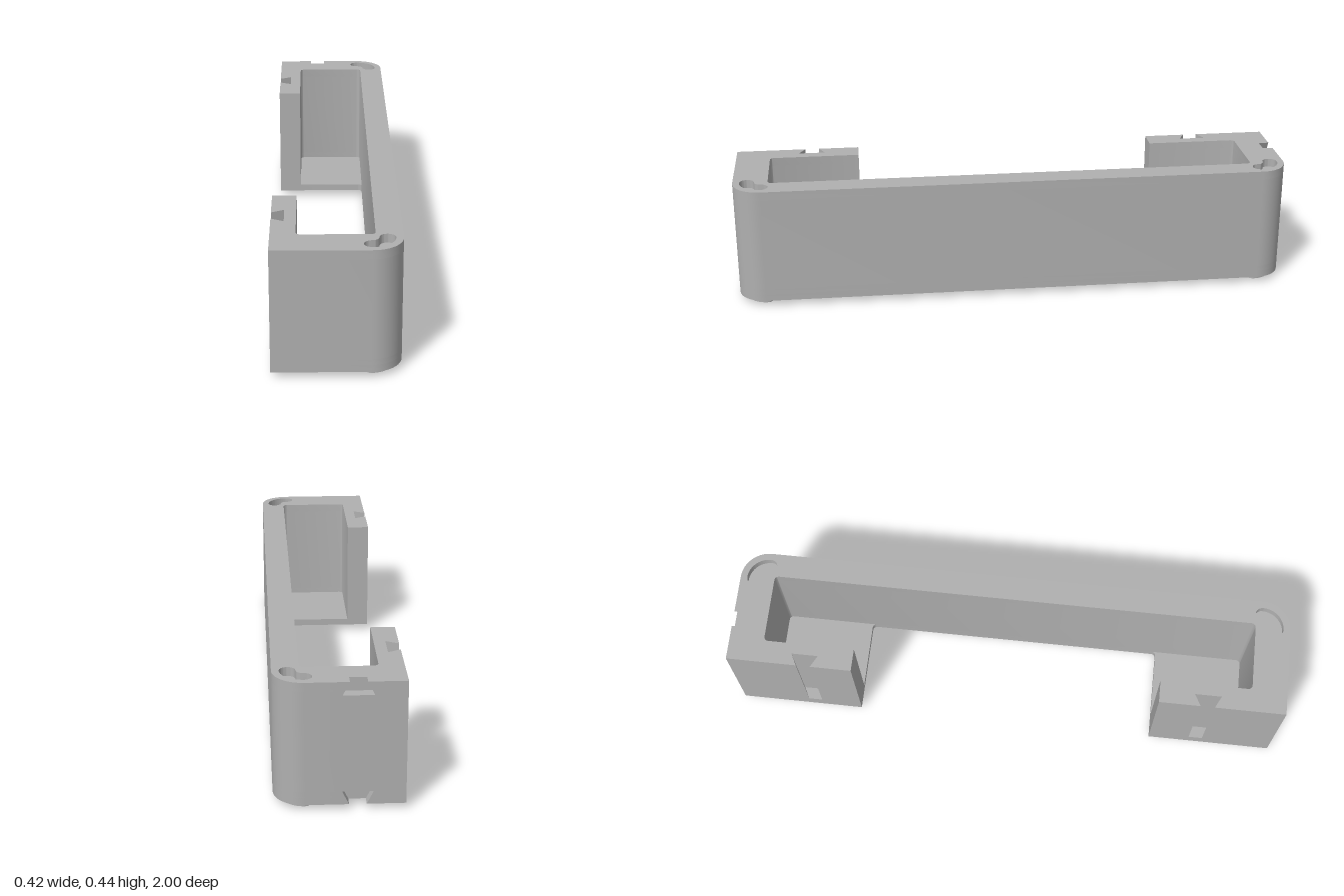
import * as THREE from 'three';
import { toCreasedNormals } from 'three/addons/utils/BufferGeometryUtils.js';

const BASE = 0.02, TOP = 0.44;          // body bottom and top
const FLOOR = 0.045, SLOT = 0.065;      // pocket floor and slot floor heights
const HOLE = 0.41;                      // bottom of the curved sockets
const PLATE = 0.037;                    // thickness of the notched end plate

// Closed shape from points [x, y, cornerRadius]
function roundedShape(points) {
  const shape = new THREE.Shape();
  const n = points.length;
  points.forEach(([x, y, r = 0], i) => {
    const toward = ([px, py]) => {
      const d = Math.hypot(px - x, py - y);
      return [x + (px - x) / d * r, y + (py - y) / d * r];
    };
    const a = toward(points[(i + n - 1) % n]);
    const b = toward(points[(i + 1) % n]);
    if (i === 0) shape.moveTo(...a); else shape.lineTo(...a);
    if (r) {
      // cubic that closely follows a quarter circle
      const k = 0.5523;
      shape.bezierCurveTo(
        a[0] + (x - a[0]) * k, a[1] + (y - a[1]) * k,
        b[0] + (x - b[0]) * k, b[1] + (y - b[1]) * k, ...b);
    }
  });
  shape.closePath();
  return shape;
}

// Plan of the bracket, drawn as (x, -z)
function bracketPlan({ pocket, slots }) {
  const slot = (s) => slots
    ? [[-0.21, s * 0.7475], [-0.167, s * 0.77], [-0.167, s * 0.675], [-0.21, s * 0.6975]]
    : [];
  const inner = (s) => pocket
    ? [[-0.21, s * 0.55], [-0.128, s * 0.55], [-0.128, s * 0.876, 0.015], [0.123, s * 0.876, 0.015]]
    : [[-0.21, s * 0.55], [0.123, s * 0.55, 0.015]];
  return roundedShape([
    [-0.21, -1], [0.21, -1, 0.1], [0.21, 1, 0.1],
    [0, 1], [0, 1 - PLATE], [-0.21, 1 - PLATE],
    ...slot(1), ...inner(1),
    ...inner(-1).reverse(), ...slot(-1).reverse(),
  ]);
}

// Curved bean outline around a rounded corner (end = 1 back, -1 front)
function beanPoints(target, end, halfWidth) {
  const cx = 0.11, cy = 0.9 * end, r = 0.05;
  const a0 = end > 0 ? 0 : -Math.PI / 2, a1 = a0 + Math.PI / 2;
  target.absarc(cx, cy, r + halfWidth, a0, a1, false);
  target.absarc(cx + r * Math.cos(a1), cy + r * Math.sin(a1), halfWidth, a1, a1 + Math.PI, false);
  target.absarc(cx, cy, r - halfWidth, a1, a0, true);
  target.absarc(cx + r * Math.cos(a0), cy + r * Math.sin(a0), halfWidth, a0 + Math.PI, a0 + 2 * Math.PI, false);
  return target;
}

export function createModel() {
  const group = new THREE.Group();
  const grey = new THREE.MeshStandardMaterial({ color: 0xb0b0b0 });
  grey.name = 'grey plastic';

  const add = (name, geometry) => {
    const mesh = new THREE.Mesh(toCreasedNormals(geometry, 0.5), grey);
    mesh.name = name;
    group.add(mesh);
  };
  // Extrude a plan upward between two heights
  const addLayer = (name, shape, y0, y1) => {
    const g = new THREE.ExtrudeGeometry(shape, { depth: y1 - y0, bevelEnabled: false, curveSegments: 12 });
    g.rotateX(-Math.PI / 2).translate(0, y0, 0);
    add(name, g);
  };

  // Body, from the pocket floor to the rim with its sockets
  addLayer('bodyFloor', bracketPlan({ pocket: false, slots: false }), BASE, FLOOR);
  addLayer('bodyLower', bracketPlan({ pocket: true, slots: false }), FLOOR, SLOT);
  addLayer('bodyWalls', bracketPlan({ pocket: true, slots: true }), SLOT, HOLE);
  const rim = bracketPlan({ pocket: true, slots: true });
  for (const end of [1, -1]) rim.holes.push(beanPoints(new THREE.Path(), end, 0.026));
  addLayer('bodyRim', rim, HOLE, TOP);

  // Curved feet that match the sockets
  addLayer('backFoot', beanPoints(new THREE.Shape(), 1, 0.02), 0, BASE);
  addLayer('frontFoot', beanPoints(new THREE.Shape(), -1, 0.02), 0, BASE);

  // Back end plate with dovetail notches in its top and bottom edges
  const c = -0.057, narrow = 0.028, wide = 0.05, h = 0.045;
  const plate = roundedShape([
    [-0.21, BASE],
    [c - narrow, BASE], [c - wide, BASE + h], [c + wide, BASE + h], [c + narrow, BASE],
    [0, BASE], [0, TOP],
    [c + narrow, TOP], [c + wide, TOP - h], [c - wide, TOP - h], [c - narrow, TOP],
    [-0.21, TOP],
  ]);
  const plateGeometry = new THREE.ExtrudeGeometry(plate, { depth: PLATE, bevelEnabled: false });
  plateGeometry.translate(0, 0, -1);
  add('backEndPlate', plateGeometry);

  return group;
}
